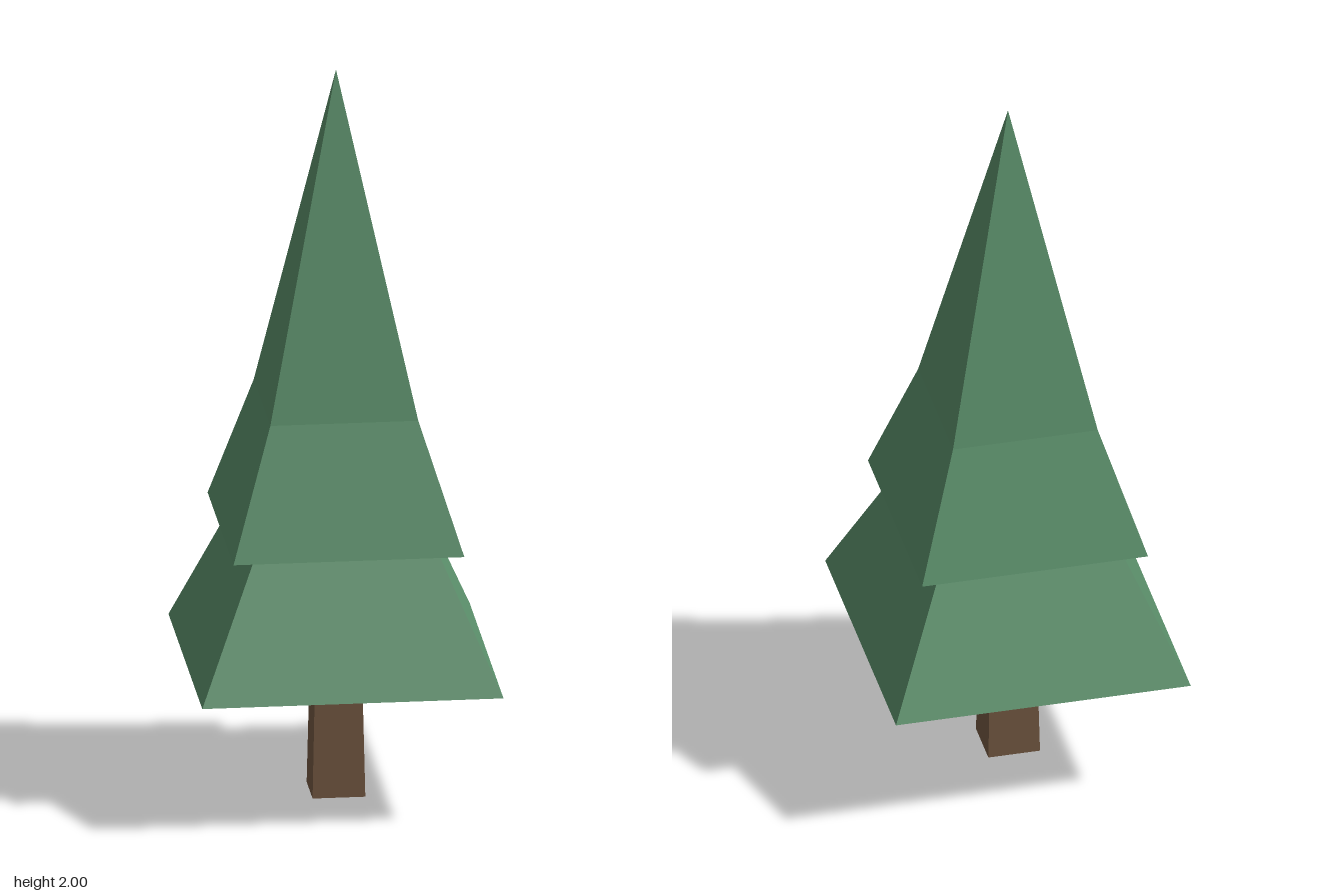
import * as THREE from 'three';

export function createModel() {
  const tree = new THREE.Group();
  tree.name = 'pineTree';

  const green = new THREE.MeshStandardMaterial({ color: 0x5c916c, flatShading: true });
  green.name = 'needleGreen';
  const brown = new THREE.MeshStandardMaterial({ color: 0x755a43, flatShading: true });
  brown.name = 'barkBrown';

  // Four-sided solid with its corners on the x and z axes
  function addPart(name, material, topRadius, bottomRadius, bottom, top) {
    const height = top - bottom;
    const geometry = new THREE.CylinderGeometry(topRadius, bottomRadius, height, 4);
    const mesh = new THREE.Mesh(geometry, material);
    mesh.name = name;
    mesh.position.y = bottom + height / 2;
    tree.add(mesh);
  }

  // Tapered trunk
  addPart('trunk', brown, 0.087, 0.099, 0, 0.38);

  // Foliage tiers, each a pyramid rising into the next
  addPart('lowerFoliage', green, 0, 0.565, 0.37, 1.29);
  addPart('middleFoliage', green, 0, 0.433, 0.735, 1.7);
  addPart('upperFoliage', green, 0, 0.284, 1.06, 2);

  return tree;
}
